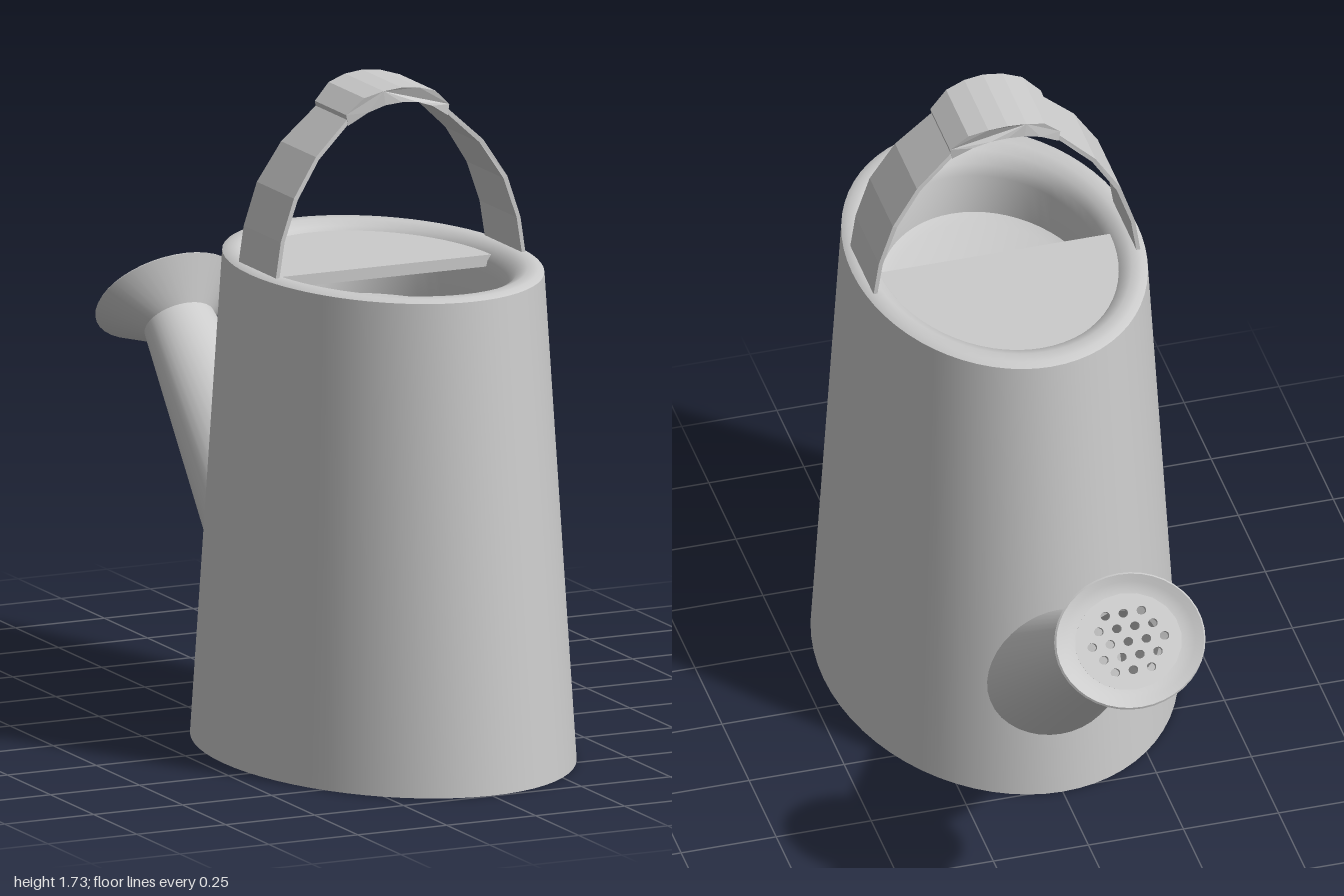
import * as THREE from 'three';
import { toCreasedNormals } from 'three/addons/utils/BufferGeometryUtils.js';

const smooth = new THREE.MeshStandardMaterial({ color: 0xcccccc, side: THREE.DoubleSide });
const flat = new THREE.MeshStandardMaterial({ color: 0xcccccc, flatShading: true });
const v2 = ([x, y]) => new THREE.Vector2(x, y);

function addMesh(parent, name, geometry, material) {
  const mesh = new THREE.Mesh(geometry, material);
  mesh.name = name;
  parent.add(mesh);
  return mesh;
}

function lathe(profile, segments = 64) {
  return toCreasedNormals(new THREE.LatheGeometry(profile.map(v2), segments), 0.6);
}

// Arched band: half outlines are mirrored in x, and its depth varies with |x|
function band(outer, inner, widthAt) {
  const mirror = (pts) => [...pts, ...pts.filter(([x]) => x > 0).reverse().map(([x, y]) => [-x, y])];
  const outline = [...mirror(outer), ...mirror(inner).reverse()];
  const geometry = new THREE.ExtrudeGeometry(new THREE.Shape(outline.map(v2)), { depth: 1, bevelEnabled: false });
  const p = geometry.attributes.position;
  for (let i = 0; i < p.count; i++) {
    p.setZ(i, (p.getZ(i) - 0.5) * widthAt(Math.abs(p.getX(i))));
  }
  geometry.computeVertexNormals();
  return geometry;
}

export function createModel() {
  const model = new THREE.Group();
  model.name = 'wateringCan';

  // Oval tapered body with a rolled rim and a shallow well
  const can = new THREE.Group();
  can.name = 'can';
  can.position.z = 0.367;
  model.add(can);
  const body = addMesh(can, 'body', lathe([
    [0, 0], [0.63, 0], [0.525, 1.26], [0.505, 1.268], [0.47, 1.268], [0.435, 1.255],
    [0.41, 1.23], [0.4, 1.2], [0.395, 1.09], [0.36, 1.08], [0, 1.08],
  ]), smooth);
  body.scale.x = 0.714;

  // Half lid over the spout side of the opening
  const half = new THREE.Shape().absarc(0, 0, 0.425, 0, Math.PI);
  const lidGeometry = new THREE.ExtrudeGeometry(half, { depth: 0.03, bevelEnabled: false, curveSegments: 32 });
  lidGeometry.rotateX(-Math.PI / 2);
  const lid = addMesh(can, 'halfLid', lidGeometry, smooth);
  lid.scale.x = 0.714;
  lid.position.y = 1.215;

  // Carrying handle: thin strap and thicker grip
  const handle = new THREE.Group();
  handle.name = 'handle';
  handle.position.z = 0.36;
  model.add(handle);
  addMesh(handle, 'handleStrap', band(
    [[0.355, 1.24], [0.337, 1.36], [0.3, 1.47], [0.235, 1.57], [0.14, 1.658], [0.06, 1.7], [0, 1.705]],
    [[0.345, 1.24], [0.326, 1.36], [0.289, 1.465], [0.226, 1.562], [0.134, 1.648], [0.057, 1.69], [0, 1.695]],
    (x) => 0.18 + 0.035 * THREE.MathUtils.clamp((x - 0.14) / 0.15, 0, 1),
  ), flat);
  addMesh(handle, 'handleGrip', band(
    [[0.145, 1.668], [0.1, 1.71], [0.05, 1.725], [0, 1.73]],
    [[0.14, 1.64], [0.09, 1.672], [0.045, 1.688], [0, 1.692]],
    (x) => 0.23 - 0.045 * (x / 0.14) ** 2,
  ), flat);

  // Spout, tilted outwards; its origin sits at the neck
  const spout = new THREE.Group();
  spout.name = 'spout';
  spout.position.set(0, 0.855, -0.815);
  spout.rotation.x = -0.873;
  spout.scale.x = 1.13;
  model.add(spout);
  addMesh(spout, 'spoutTube', lathe([[0.171, -1], [0.084, 0]], 40), smooth);
  addMesh(spout, 'roseFlare', lathe([
    [0.084, 0], [0.174, 0.088], [0.17, 0.093], [0.152, 0.082], [0.135, 0.073], [0.12, 0.07],
  ], 40), smooth);

  // Perforated rose plate with a hexagonal pattern of holes
  const plate = new THREE.Shape().absarc(0, 0, 0.123, 0, Math.PI * 2);
  const step = 0.042;
  for (let row = -2; row <= 2; row++) {
    const count = 5 - Math.abs(row);
    for (let i = 0; i < count; i++) {
      const x = (i - (count - 1) / 2) * step;
      plate.holes.push(new THREE.Path().absarc(x, row * step * 0.866, 0.011, 0, Math.PI * 2, true));
    }
  }
  const plateGeometry = new THREE.ExtrudeGeometry(plate, { depth: 0.015, bevelEnabled: false, curveSegments: 10 });
  plateGeometry.rotateX(-Math.PI / 2);
  addMesh(spout, 'rosePlate', plateGeometry, smooth).position.y = 0.056;

  return model;
}
